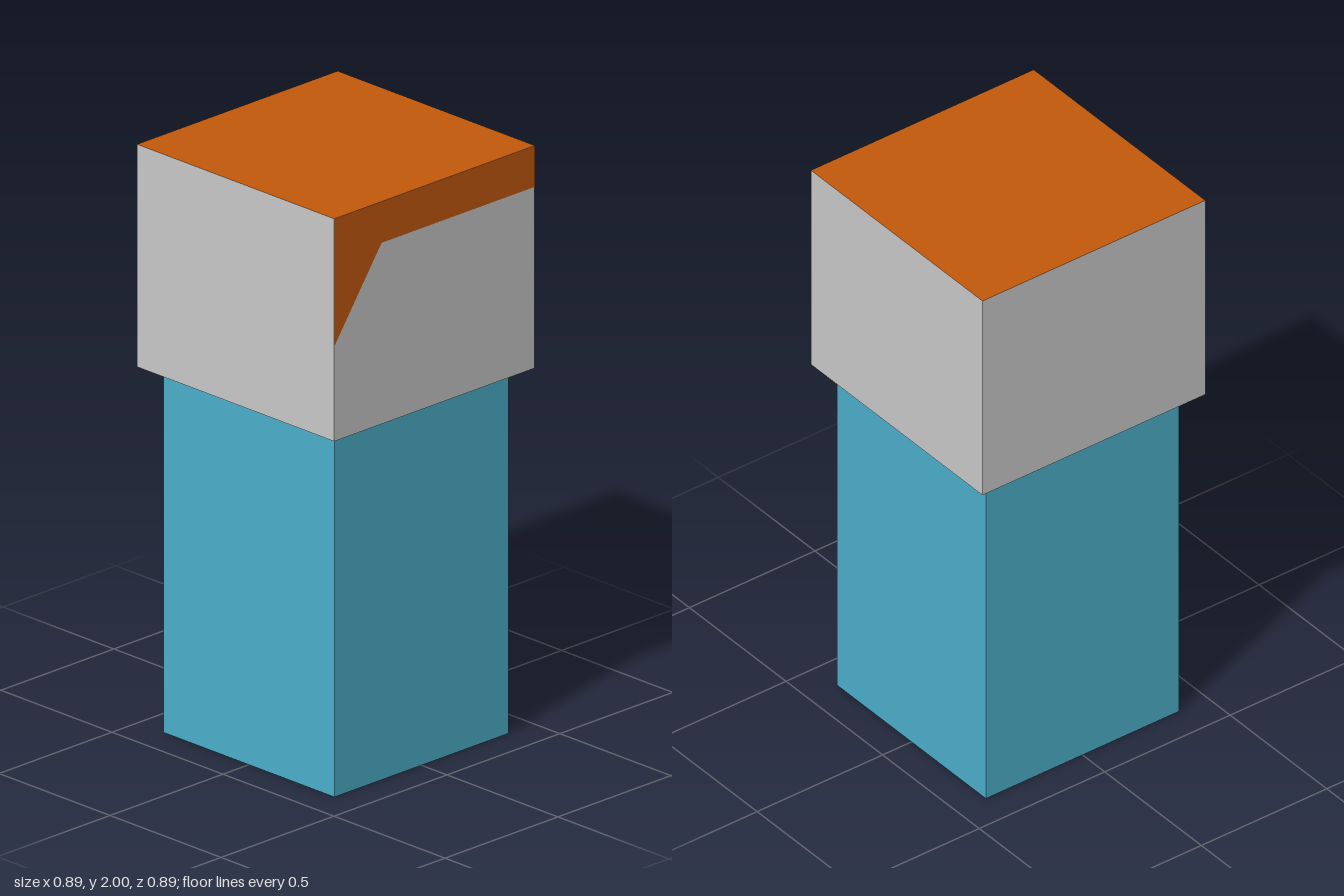
import * as THREE from 'three';

const HEAD = 0.888, HEAD_BASE = 1.243, TOP = 2, BODY = 0.77;

function material(name, color) {
  const m = new THREE.MeshStandardMaterial({ color });
  m.name = name;
  return m;
}

export function createModel() {
  const group = new THREE.Group();
  group.name = 'blockFigure';
  const blue = material('blue', 0x4bafca);
  const grey = material('lightGrey', 0xc9c9c9);
  const orange = material('orange', 0xc4590c);

  function add(name, geometry, mat, y, z = 0) {
    const mesh = new THREE.Mesh(geometry, mat);
    mesh.name = name;
    mesh.position.set(0, y, z);
    group.add(mesh);
  }

  // Square body block
  add('body', new THREE.BoxGeometry(BODY, HEAD_BASE, BODY), blue, HEAD_BASE / 2);

  // Wider head block with an orange top face
  const headHeight = TOP - HEAD_BASE;
  add('head', new THREE.BoxGeometry(HEAD, headHeight, HEAD),
    [grey, grey, orange, grey, grey, grey], HEAD_BASE + headHeight / 2);

  // Fringe painted on the front face, swept down on the model's right
  const h = HEAD / 2;
  const fringe = new THREE.Shape([
    [-h, 1.567], [-0.235, 1.86], [h, 1.86], [h, TOP], [-h, TOP],
  ].map(([x, y]) => new THREE.Vector2(x, y)));
  add('fringe', new THREE.ShapeGeometry(fringe), orange, 0, h + 0.001);

  return group;
}
